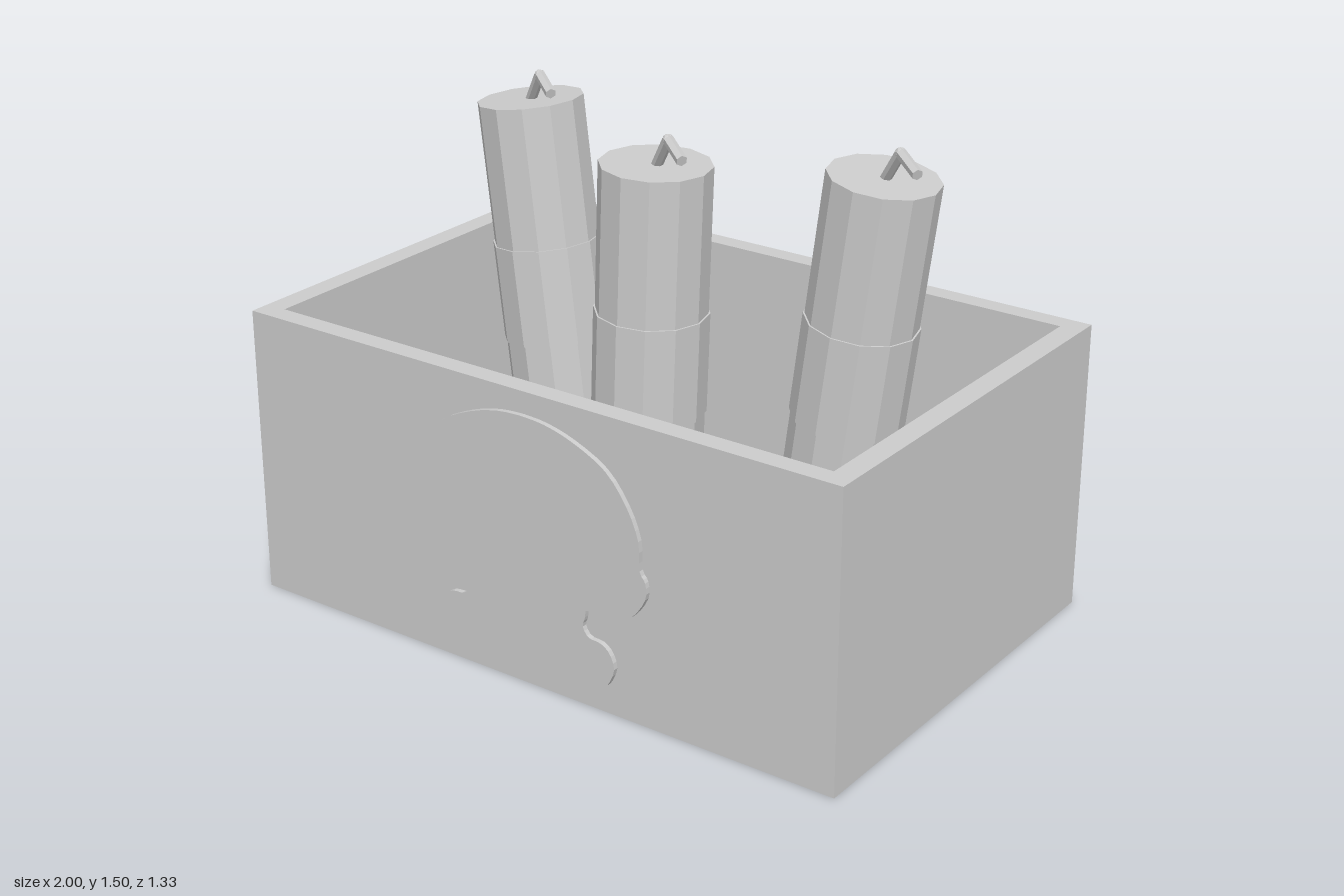
import * as THREE from 'three';

const grey = new THREE.MeshStandardMaterial({ color: 0xcccccc });
grey.name = 'plain grey';
grey.flatShading = true;

function add(parent, name, geometry) {
  const mesh = new THREE.Mesh(geometry, grey);
  mesh.name = name;
  parent.add(mesh);
  return mesh;
}

// Closed rectangle as a list of points
const rect = (x0, y0, x1, y1) => [[x0, y0], [x1, y0], [x1, y1], [x0, y1]]
  .map(([x, y]) => new THREE.Vector2(x, y));

// Straight rod between two points
function rod(parent, name, a, b, radius) {
  const dir = b.clone().sub(a);
  const mesh = add(parent, name, new THREE.CylinderGeometry(radius, radius, dir.length(), 6));
  mesh.position.copy(a).add(b).multiplyScalar(0.5);
  mesh.quaternion.setFromUnitVectors(new THREE.Vector3(0, 1, 0), dir.normalize());
}

function createCrate() {
  const crate = new THREE.Group();
  crate.name = 'crate';
  // Four walls as one open frame, with the floor set inside
  const frame = new THREE.Shape(rect(-1, -0.65, 1, 0.665));
  frame.holes.push(new THREE.Path(rect(-0.933, -0.588, 0.933, 0.603)));
  const walls = new THREE.ExtrudeGeometry(frame, { depth: 0.885, bevelEnabled: false });
  walls.rotateX(-Math.PI / 2);
  add(crate, 'crateWalls', walls);
  add(crate, 'crateFloor', new THREE.BoxGeometry(1.866, 0.06, 1.191)).position.set(0, 0.03, -0.0075);
  return crate;
}

// Raised emblem on the front: right half of the outline, mirrored
function createEmblem() {
  const jaw = [[0.265, 0.085], [0.285, 0.1], [0.305, 0.15], [0.29, 0.195], [0.26, 0.217],
    [0.22, 0.222], [0.2, 0.25], [0.207, 0.275], [0.21, 0.3]];
  const head = [[0.21, 0.3], [0.24, 0.308], [0.3, 0.295], [0.365, 0.33], [0.41, 0.395], [0.41, 0.445],
    [0.392, 0.475], [0.388, 0.56], [0.35, 0.65], [0.28, 0.735], [0.175, 0.788], [0.08, 0.814], [0, 0.82]];
  const smooth = (pts, n) => new THREE.SplineCurve(pts.map(([x, y]) => new THREE.Vector2(x, y))).getPoints(n);
  const half = [...smooth(jaw, 20), ...smooth(head, 36).slice(1)];
  const mirrored = half.slice(0, -1).reverse().map((p) => new THREE.Vector2(-p.x, p.y));
  const shape = new THREE.Shape([...half, ...mirrored]);
  const geometry = new THREE.ExtrudeGeometry(shape, { depth: 0.015, bevelEnabled: false });
  geometry.translate(0, 0, 0.65);
  return geometry;
}

// Tilted stick with a band round its middle and a bent fuse on top
function createStick(name, x, y, z, tilt) {
  const group = new THREE.Group();
  group.name = name;
  group.position.set(x, y, z);
  const body = new THREE.Group();
  body.name = 'stickBody';
  body.rotation.z = tilt;
  group.add(body);
  add(body, 'stick', new THREE.CylinderGeometry(0.16, 0.16, 1.33, 12)).position.y = -0.665;
  add(body, 'band', new THREE.CylinderGeometry(0.165, 0.165, 0.3, 12)).position.y = -0.58;

  const base = new THREE.Vector3(0, -0.01, 0);
  const bend = new THREE.Vector3(0.07, 0.09, 0.04);
  const tip = new THREE.Vector3(0.158, 0.062, 0.1);
  rod(group, 'fuseLower', base, bend, 0.016);
  rod(group, 'fuseTip', bend, tip, 0.016);
  add(group, 'fuseBend', new THREE.IcosahedronGeometry(0.016, 1)).position.copy(bend);
  return group;
}

export function createModel() {
  const model = new THREE.Group();
  model.name = 'crateOfSticks';
  model.add(createCrate());
  add(model, 'frontEmblem', createEmblem());
  model.add(
    createStick('rightStick', -0.628, 1.387, -0.175, 0.122),
    createStick('middleStick', 0.05, 1.39, 0.122, -0.037),
    createStick('leftStick', 0.615, 1.39, -0.142, -0.13),
  );
  return model;
}
